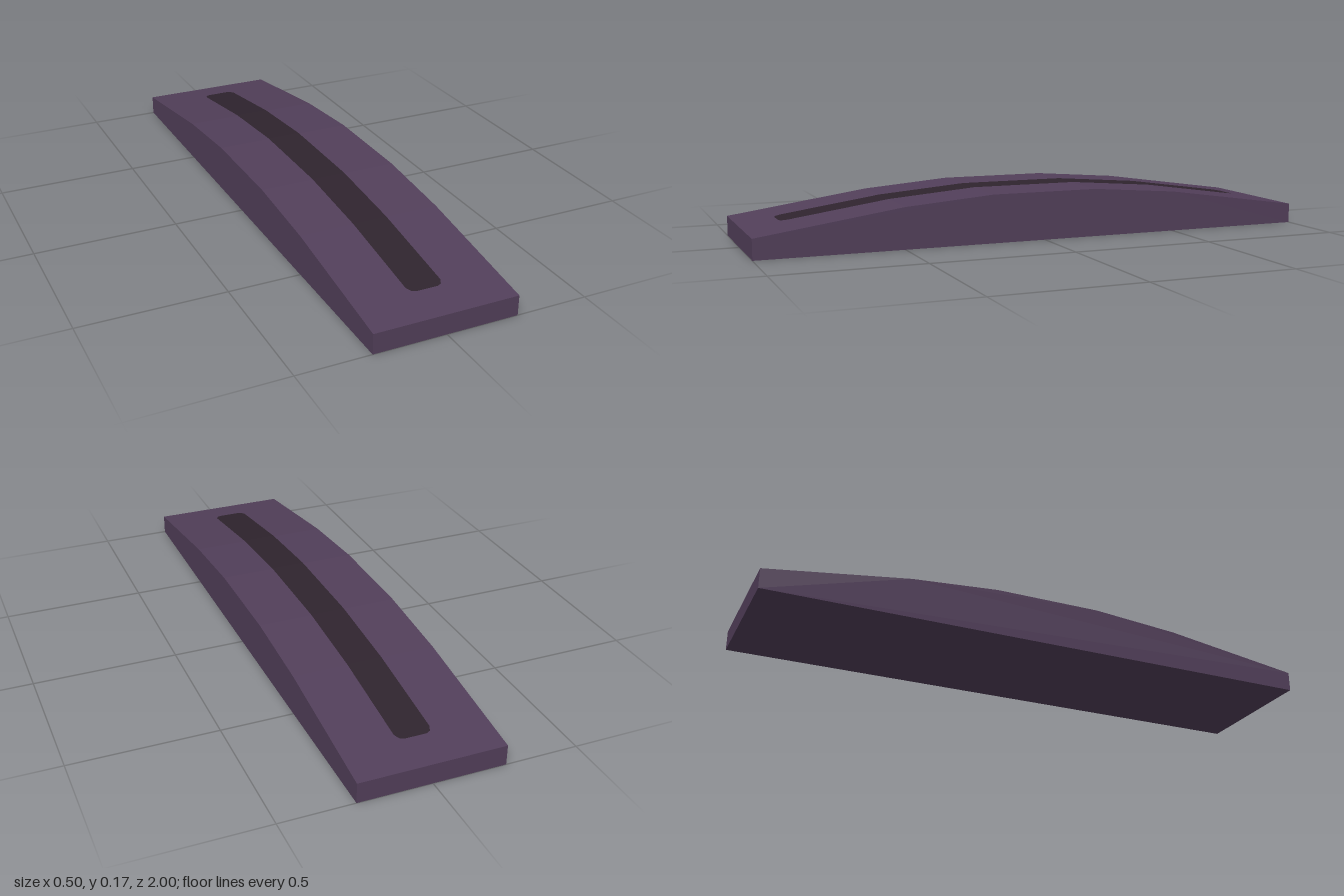
import * as THREE from 'three';

// Arched top profile as [z, y], front to back
const ARCH = [[1, 0.07], [0.5, 0.142], [0.19, 0.167], [-0.19, 0.167], [-0.5, 0.142], [-1, 0.07]];

// Height of the arched top at a given z
function topHeight(z) {
  for (let i = 0; i < ARCH.length - 1; i++) {
    const [z0, y0] = ARCH[i], [z1, y1] = ARCH[i + 1];
    if (z >= z1) return y0 + (y1 - y0) * (z0 - z) / (z0 - z1);
  }
  return ARCH[ARCH.length - 1][1];
}

export function createModel() {
  const plum = new THREE.MeshStandardMaterial({ color: 0x523f5a });
  const dark = new THREE.MeshStandardMaterial({ color: 0x2f242e, side: THREE.DoubleSide });
  const model = new THREE.Group();
  model.name = 'archedBar';

  // Solid bar: side profile extruded across the width
  const profile = new THREE.Shape([[-1, 0], [1, 0], ...ARCH].map(([z, y]) => new THREE.Vector2(z, y)));
  const barGeometry = new THREE.ExtrudeGeometry(profile, { depth: 0.5, bevelEnabled: false });
  barGeometry.translate(0, 0, -0.25).rotateY(-Math.PI / 2);
  const bar = new THREE.Mesh(barGeometry, plum);
  bar.name = 'bar';
  model.add(bar);

  // Dark inlay with rounded ends, following the arch: [z, half width] per row
  const half = [[0.875, 0.038], [0.868, 0.052], [0.85, 0.061], [0.5, 0.061], [0.19, 0.061]];
  const rows = [...half, ...half.map(([z, w]) => [-z, w]).reverse()];
  const positions = [], indices = [];
  rows.forEach(([z, w], i) => {
    const y = topHeight(z) + 0.002;
    positions.push(-w, y, z, w, y, z);
    if (i) {
      const a = 2 * i - 2;
      indices.push(a, a + 1, a + 3, a, a + 3, a + 2);
    }
  });
  const indexed = new THREE.BufferGeometry();
  indexed.setAttribute('position', new THREE.Float32BufferAttribute(positions, 3));
  indexed.setIndex(indices);
  const inlayGeometry = indexed.toNonIndexed();
  inlayGeometry.computeVertexNormals();
  const inlay = new THREE.Mesh(inlayGeometry, dark);
  inlay.name = 'inlayStrip';
  model.add(inlay);

  return model;
}
